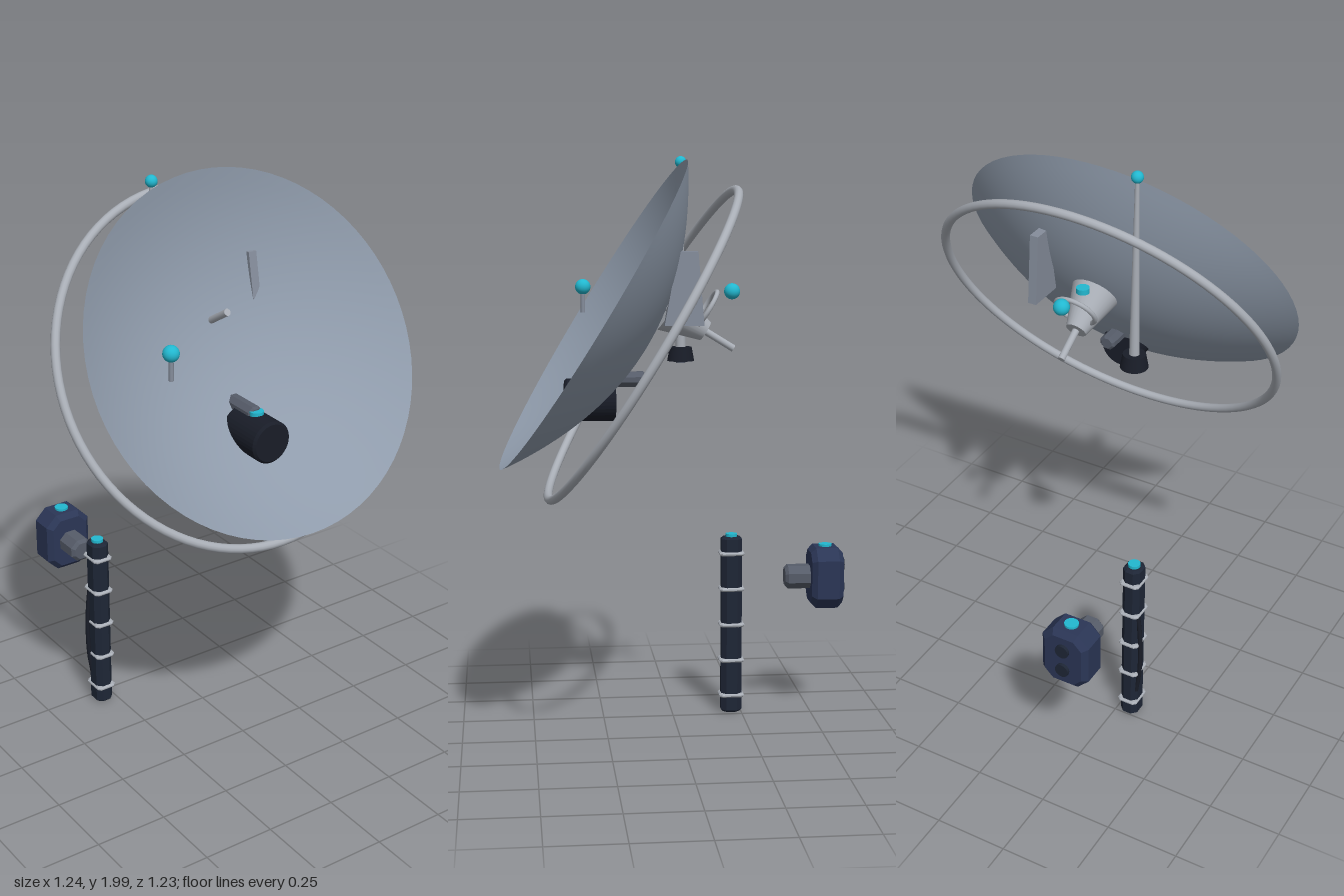
import * as THREE from 'three';

const COLORS = {
  dish: 0x8f9bab, metal: 0xa9aeb6, grey: 0x858d9b, gun: 0x565c69,
  navy: 0x2b3656, dark: 0x1e2636, black: 0x191d28, cyan: 0x22b8d0,
};

const mat = (key, flat = false, double = false) => new THREE.MeshStandardMaterial({
  color: COLORS[key], flatShading: flat, side: double ? THREE.DoubleSide : THREE.FrontSide,
});

function add(parent, name, geometry, material, x = 0, y = 0, z = 0) {
  const mesh = new THREE.Mesh(geometry, material);
  mesh.name = name;
  mesh.position.set(x, y, z);
  parent.add(mesh);
  return mesh;
}

// Box with chamfered edges: an octagon extruded along z with a one-step bevel
function chamferBox(w, h, d, c) {
  const b = c * 0.6, x = w / 2 - b, y = h / 2 - b;
  const shape = new THREE.Shape([
    [x - c, -y], [x, -y + c], [x, y - c], [x - c, y],
    [-x + c, y], [-x, y - c], [-x, -y + c], [-x + c, -y],
  ].map(([px, py]) => new THREE.Vector2(px, py)));
  const geo = new THREE.ExtrudeGeometry(shape, {
    depth: d - 2 * b, bevelEnabled: true, bevelSize: b, bevelThickness: b, bevelSegments: 1,
  });
  return geo.translate(0, 0, -d / 2 + b);
}

const disc = (r, h) => new THREE.CylinderGeometry(r, r, h, 24);
const ball = (r) => new THREE.SphereGeometry(r, 24, 16);

function createDish() {
  const g = new THREE.Group();
  g.name = 'dishAssembly';
  g.position.set(0, 1.475, 0.295);
  g.rotation.x = -0.553;

  // Parabolic reflector opening along local +z
  const profile = [];
  for (let i = 0; i <= 20; i++) {
    const r = 0.6 * i / 20;
    profile.push(new THREE.Vector2(r, -0.208 * (1 - (r / 0.6) ** 2)));
  }
  add(g, 'reflector', new THREE.LatheGeometry(profile, 72).rotateX(Math.PI / 2), mat('dish', false, true));
  add(g, 'backRing', new THREE.TorusGeometry(0.603, 0.015, 12, 96), mat('metal'), 0, 0, -0.193);

  // Rear hub with the rod running through the reflector
  add(g, 'hubCone', new THREE.CylinderGeometry(0.08, 0.035, 0.144, 28).rotateX(Math.PI / 2), mat('metal'), 0, 0.15, -0.282);
  add(g, 'feedRod', new THREE.CylinderGeometry(0.012, 0.012, 0.375, 14).rotateX(Math.PI / 2), mat('metal'), 0, 0.15, -0.278);
  add(g, 'hubLoop', new THREE.TorusGeometry(0.069, 0.008, 10, 40), mat('metal'), 0, 0.214, -0.318);
  return g;
}

function createFittings() {
  const g = new THREE.Group();
  g.name = 'dishFittings';

  // Tapered fin, drawn in z-y and extruded across x
  const fin = new THREE.Shape([[-0.025, 1.69], [-0.07, 1.45], [0.06, 1.45], [0.04, 1.69]]
    .map(([px, py]) => new THREE.Vector2(px, py)));
  const finGeo = new THREE.ExtrudeGeometry(fin, { depth: 0.03, bevelEnabled: false });
  add(g, 'fin', finGeo.rotateY(Math.PI / 2), mat('grey', true), 0.165, 0, 0);

  // Mast with foot and tip
  add(g, 'mast', new THREE.CylinderGeometry(0.007, 0.018, 0.66, 14), mat('metal'), -0.18, 1.65, -0.02);
  add(g, 'mastFoot', new THREE.CylinderGeometry(0.038, 0.047, 0.048, 24), mat('black'), -0.18, 1.325, -0.02);
  add(g, 'mastFootPlug', disc(0.016, 0.01), mat('gun'), -0.18, 1.299, -0.02);
  add(g, 'mastTip', ball(0.02), mat('cyan'), -0.18, 1.98, -0.02);

  // Small antenna and beacons
  add(g, 'antennaStick', disc(0.008, 0.08), mat('grey'), -0.33, 1.5, 0.31);
  add(g, 'antennaTip', ball(0.027), mat('cyan'), -0.33, 1.55, 0.31);
  add(g, 'rearBeacon', ball(0.027), mat('cyan'), 0, 1.55, -0.175);
  add(g, 'hubButton', disc(0.022, 0.018), mat('cyan'), 0, 1.545, -0.04);

  // Horn passing through the lower reflector
  const horn = [[0, -0.085], [0.072, -0.085], [0.072, 0.077], [0.064, 0.085], [0, 0.085]]
    .map(([r, y]) => new THREE.Vector2(r, y));
  add(g, 'horn', new THREE.LatheGeometry(horn, 36).rotateX(Math.PI / 2), mat('black', true), 0, 1.19, 0.305);
  add(g, 'hornBlock', chamferBox(0.054, 0.05, 0.185, 0.012), mat('gun', true), 0, 1.258, 0.21);
  add(g, 'hornButton', disc(0.024, 0.016), mat('cyan'), 0, 1.264, 0.303);
  return g;
}

function createHandle() {
  const g = new THREE.Group();
  g.name = 'handle';
  g.position.set(-0.297, 0, -0.215);
  add(g, 'grip', chamferBox(0.064, 0.074, 0.645, 0.013).rotateX(Math.PI / 2), mat('dark', true), 0, 0.333, 0);
  for (const y of [0.073, 0.203, 0.334, 0.465, 0.595]) {
    add(g, 'gripBand', chamferBox(0.073, 0.09, 0.014, 0.008).rotateX(Math.PI / 2), mat('metal', true), 0, y, 0);
  }
  add(g, 'gripButton', disc(0.021, 0.016), mat('cyan'), 0, 0.658, 0);

  // Bowed lever along the side
  const bow = new THREE.CatmullRomCurve3([[-0.025, 0.12], [-0.036, 0.2], [-0.039, 0.3], [-0.034, 0.4], [-0.025, 0.47]]
    .map(([x, y]) => new THREE.Vector3(x, y, -0.018)));
  add(g, 'lever', new THREE.TubeGeometry(bow, 20, 0.008, 8), mat('black'));
  return g;
}

function createModule() {
  const g = new THREE.Group();
  g.name = 'sensorModule';
  g.position.set(-0.247, 0.515, -0.547);
  add(g, 'body', chamferBox(0.172, 0.218, 0.114, 0.03), mat('navy', true));
  add(g, 'barrel', chamferBox(0.086, 0.082, 0.1, 0.018), mat('gun', true), 0, 0, 0.097);
  for (const y of [0.042, -0.038]) {
    add(g, 'rearButton', disc(0.024, 0.02).rotateX(Math.PI / 2), mat('dark'), 0, y, -0.058);
  }
  add(g, 'topButton', disc(0.024, 0.016), mat('cyan'), 0, 0.109, 0);
  return g;
}

export function createModel() {
  const model = new THREE.Group();
  model.name = 'dishAntennaKit';
  model.add(createDish(), createFittings(), createHandle(), createModule());
  return model;
}
